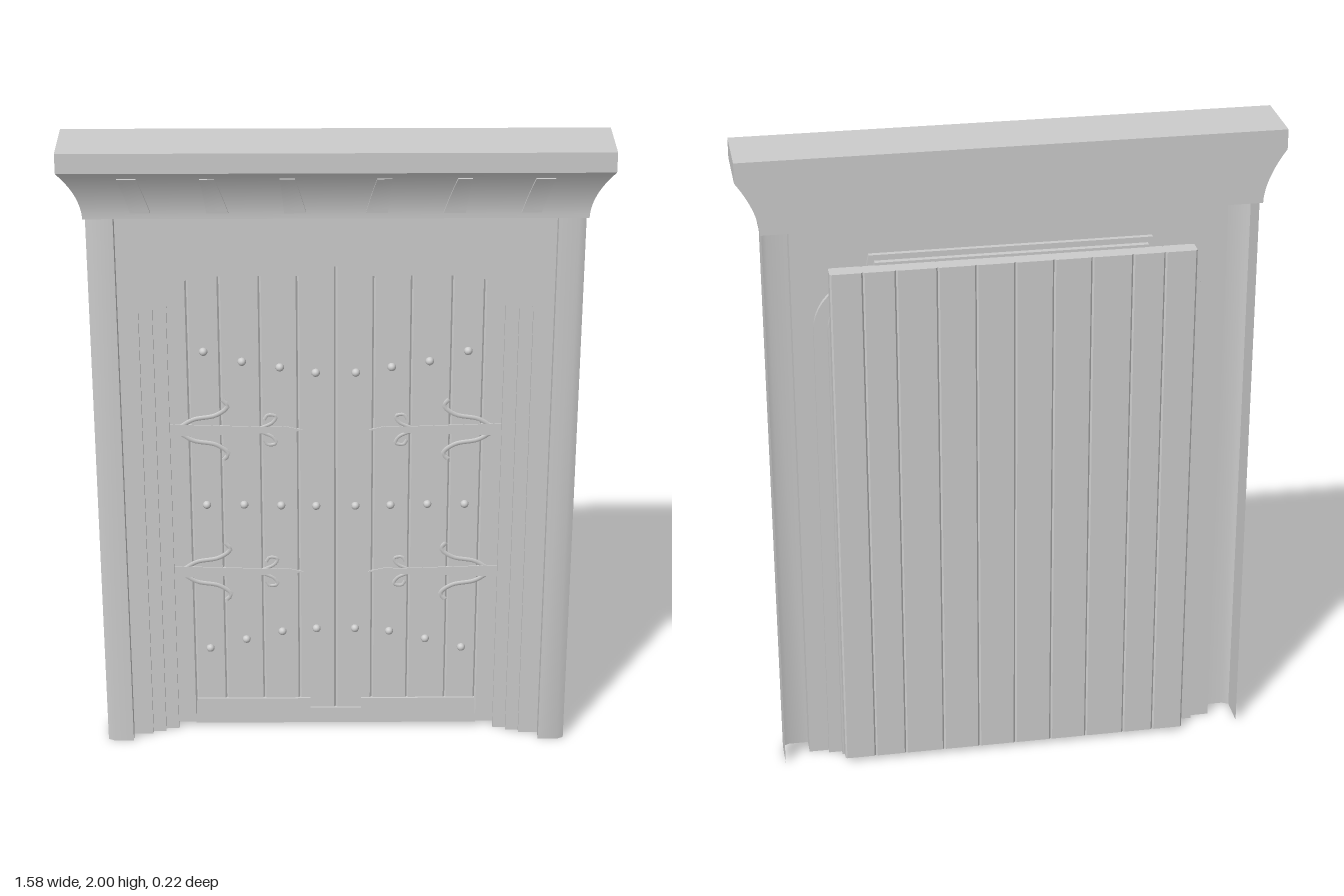
import * as THREE from 'three';
import { toCreasedNormals } from 'three/addons/utils/BufferGeometryUtils.js';

const PLANK_Z = -0.06;

export function createModel() {
  const model = new THREE.Group();
  const mat = new THREE.MeshStandardMaterial({ color: 0xcccccc, side: THREE.DoubleSide });

  function add(name, geo, x = 0, y = 0, z = 0) {
    const mesh = new THREE.Mesh(geo, mat);
    mesh.name = name;
    mesh.position.set(x, y, z);
    model.add(mesh);
    return mesh;
  }

  // Skin through rows of [x, y, z], listed top to bottom and left to right
  function loft(rows) {
    const pos = [];
    for (let i = 0; i < rows.length - 1; i++) {
      for (let j = 0; j < rows[i].length - 1; j++) {
        const a = rows[i][j], b = rows[i][j + 1], c = rows[i + 1][j], d = rows[i + 1][j + 1];
        pos.push(...a, ...c, ...b, ...b, ...c, ...d);
      }
    }
    const geo = new THREE.BufferGeometry();
    geo.setAttribute('position', new THREE.Float32BufferAttribute(pos, 3));
    return toCreasedNormals(geo, 0.6);
  }

  // Flat outline with thickness, from z0 (back) to z1 (front)
  function slab(points, z0, z1) {
    const shape = new THREE.Shape(points.map(([x, y]) => new THREE.Vector2(x, y)));
    const geo = new THREE.ExtrudeGeometry(shape, { depth: z1 - z0, bevelEnabled: false });
    return toCreasedNormals(geo.translate(0, 0, z0), 0.5);
  }

  const mirrorX = (pts) => pts.map(([x, ...rest]) => [-x, ...rest]).reverse();

  // Cornice: flat cap over a cove that returns along the sides
  add('corniceCap', new THREE.BoxGeometry(1.58, 0.06, 0.205), 0, 1.97, 0.0025);
  const flare = (y) => Math.pow((y - 1.78) / 0.16, 1.8);
  const coveZ = (y) => 0.045 + 0.06 * flare(y);
  const coveRows = [];
  for (let i = 0; i <= 12; i++) {
    const y = 1.94 - (0.16 * i) / 12;
    const w = 0.725 + 0.065 * flare(y), z = coveZ(y);
    coveRows.push([[-w, y, -0.1], [-w, y, z], [w, y, z], [w, y, -0.1], [-w, y, -0.1]]);
  }
  add('corniceCove', loft(coveRows));

  // Curved brackets on the cove: left/right edge at the top, then at the bottom
  const brackets = [
    [-0.62, -0.565, -0.587, -0.53],
    [-0.386, -0.344, -0.37, -0.307],
    [-0.159, -0.116, -0.148, -0.085],
  ];
  for (const [tl, tr, bl, br] of brackets) {
    const rows = [];
    for (let i = 0; i <= 8; i++) {
      const t = i / 8, y = 1.92 - 0.12 * t, z = coveZ(y);
      const l = tl + (bl - tl) * t, r = tr + (br - tr) * t;
      const out = z + 0.007;
      rows.push([[l, y, z - 0.004], [l, y, out], [r, y, out], [r, y, z - 0.004]]);
    }
    // close the top and bottom ends
    rows.unshift(rows[0].map(([x, y]) => [x, y, coveZ(y) - 0.004]));
    const last = rows[rows.length - 1];
    rows.push(last.map(([x, y]) => [x, y, coveZ(y) - 0.004]));
    add('corniceBracket', loft(rows));
    add('corniceBracket', loft(rows.map(mirrorX)));
  }

  // Pilasters: open-backed strips at the two sides
  const pilaster = [[0.64, -0.03], [0.64, 0.025], [0.7, 0.025], [0.72, 0.015], [0.72, -0.08]];
  for (const profile of [pilaster, mirrorX(pilaster)]) {
    add('pilaster', loft([1.8, 0].map((y) => profile.map(([x, z]) => [x, y, z]))));
  }

  // Shouldered arch outline, from bottom right over the top to bottom left
  function arch(halfWidth, top, neck, shoulder) {
    const right = [[halfWidth, 0]];
    const cx = neck + 0.015, cy = 1.45;
    for (let i = 0; i <= 10; i++) {
      const a = (i / 10) * Math.PI / 2;
      right.push([cx + (halfWidth - cx) * Math.cos(a), cy + (shoulder - cy) * Math.sin(a)]);
    }
    right.push([neck, top]);
    return [...right, ...mirrorX(right)];
  }

  // Stepped surround, each layer set deeper and closer to the door
  const outlines = [
    [[0.64, 0], [0.64, 1.79], [-0.64, 1.79], [-0.64, 0]],
    arch(0.58, 1.675, 0.415, 1.6),
    arch(0.54, 1.658, 0.4, 1.58),
    arch(0.5, 1.64, 0.385, 1.56),
  ];
  const depths = [-0.015, -0.03, -0.045, -0.062];
  for (let i = 0; i < 3; i++) {
    const ring = [...outlines[i], ...[...outlines[i + 1]].reverse()];
    add(i ? 'archMoulding' : 'surroundPanel', slab(ring, depths[i + 1], depths[i]));
  }

  // Door planks with chamfered long edges
  const seams = [-0.535, -0.44, -0.345, -0.225, -0.113, 0, 0.113, 0.225, 0.345, 0.44, 0.535];
  const c = 0.005, back = -0.11;
  for (let i = 0; i < seams.length - 1; i++) {
    const l = seams[i], r = seams[i + 1];
    const section = [
      [l, PLANK_Z - c], [l + c, PLANK_Z], [r - c, PLANK_Z], [r, PLANK_Z - c],
      [r, back + c], [r - c, back], [l + c, back], [l, back + c],
    ];
    const geo = slab(section.map(([x, z]) => [x, -z]), 0, 1.635);
    add('doorPlank', geo.rotateX(-Math.PI / 2), 0, 0.015, 0);
  }

  // Rails across the top and bottom of the door, notched in the middle
  add('topRail', slab([
    [-0.43, 1.56], [-0.08, 1.56], [-0.08, 1.59], [0.08, 1.59], [0.08, 1.56], [0.43, 1.56],
    [0.39, 1.645], [-0.39, 1.645],
  ], PLANK_Z - 0.01, PLANK_Z + 0.006));
  add('bottomRail', slab([
    [-0.445, 0.015], [0.445, 0.015], [0.44, 0.105], [0.08, 0.105], [0.08, 0.07],
    [-0.08, 0.07], [-0.08, 0.105], [-0.44, 0.105],
  ], PLANK_Z - 0.01, PLANK_Z + 0.006));

  // Three rows of domed studs: [x, top row y, middle row y, bottom row y]
  const studGeo = new THREE.SphereGeometry(0.013, 12, 8);
  const studs = [
    [0.06, 1.245, 0.795, 0.36], [0.167, 1.263, 0.797, 0.35],
    [0.28, 1.282, 0.8, 0.322], [0.394, 1.315, 0.8, 0.29],
  ];
  for (const [x, ...ys] of studs) {
    for (const y of ys) for (const s of [-1, 1]) add('stud', studGeo, s * x, y, PLANK_Z);
  }

  // Strap hinges: tapered bar, two sweeping arms and a pair of small curls
  function ironCurve(points, radius) {
    const curve = new THREE.CatmullRomCurve3(points.map(([x, y]) => new THREE.Vector3(x, y, 0)));
    return new THREE.TubeGeometry(curve, 14, radius, 6).scale(1, 1, 0.35);
  }
  const bar = slab([
    [0.5, 0.02], [0.2, 0.01], [0.15, 0.012], [0.1, 0], [0.15, -0.012], [0.2, -0.01], [0.5, -0.02],
  ], -0.004, 0.003);
  for (const y of [1.055, 0.565]) {
    for (const s of [-1, 1]) {
      const hinge = new THREE.Group();
      hinge.name = 'strapHinge';
      hinge.position.set(0, y, PLANK_Z);
      hinge.scale.x = s;
      hinge.add(new THREE.Mesh(bar, mat));
      for (const v of [-1, 1]) {
        const arm = ironCurve([[0.47, 0.01 * v], [0.43, 0.035 * v], [0.36, 0.05 * v],
          [0.325, 0.08 * v], [0.34, 0.1 * v]], 0.008);
        const curl = ironCurve([[0.23, 0.005 * v], [0.19, 0.025 * v], [0.18, 0.045 * v],
          [0.205, 0.05 * v], [0.215, 0.035 * v]], 0.006);
        hinge.add(new THREE.Mesh(arm, mat), new THREE.Mesh(curl, mat));
      }
      hinge.children.forEach((m, i) => { m.name = i === 0 ? 'hingeBar' : 'hingeScroll'; });
      model.add(hinge);
    }
  }

  return model;
}
